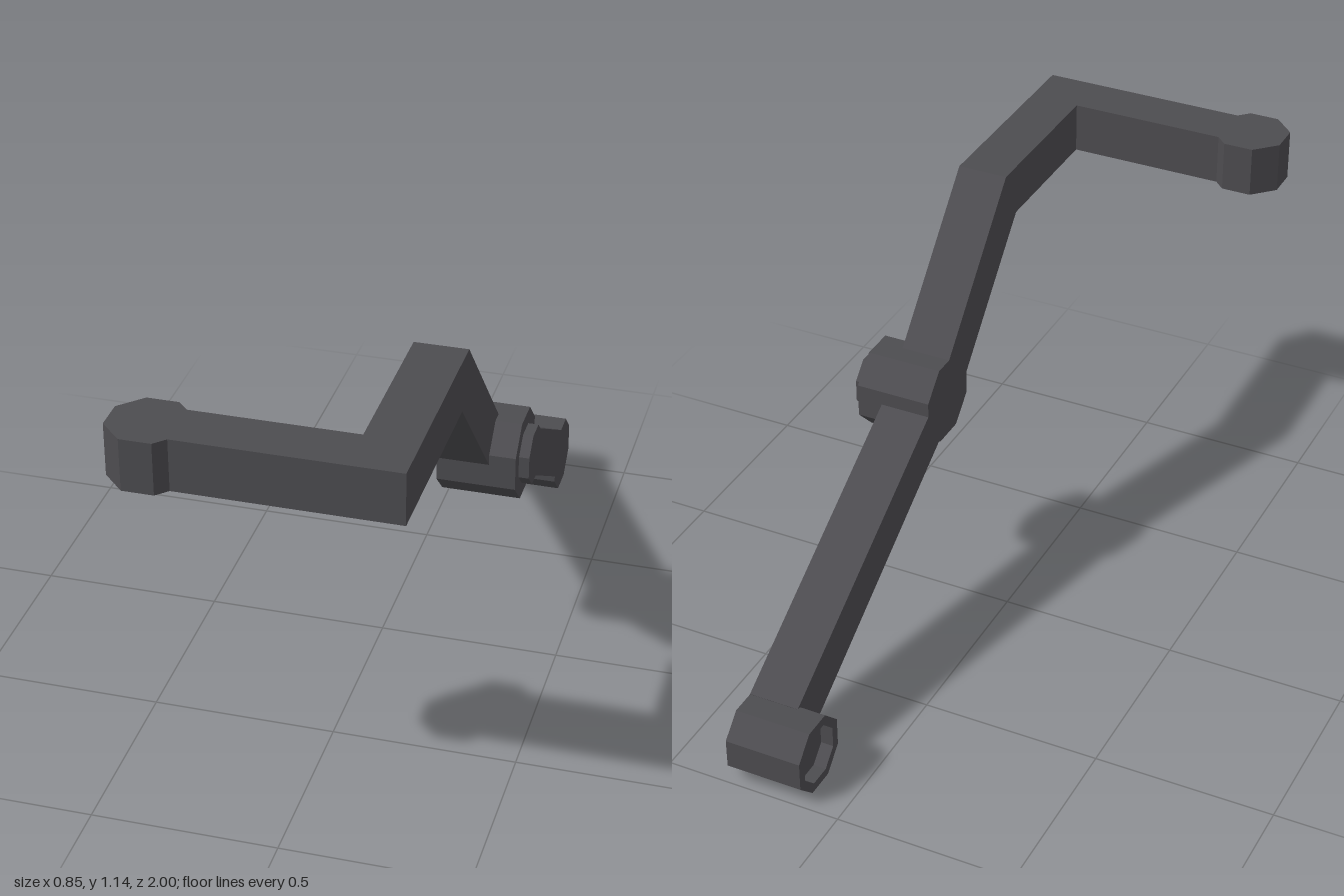
import * as THREE from 'three';

const darkGrey = new THREE.MeshStandardMaterial({ color: 0x4d4c50 });
darkGrey.name = 'dark grey';

// Octagon with flat sides on its axes, a = centre-to-side distance
function octagon(path, cx, cy, a) {
  const r = a / Math.cos(Math.PI / 8);
  path.setFromPoints(Array.from({ length: 8 }, (_, i) => {
    const t = (i + 0.5) * Math.PI / 4;
    return new THREE.Vector2(cx + r * Math.cos(t), cy + r * Math.sin(t));
  }));
  path.closePath();
  return path;
}

function extrude(shape, depth) {
  return new THREE.ExtrudeGeometry(shape, { depth, bevelEnabled: false });
}

// Side profile given as [z, y] points
function sideShape(points) {
  return new THREE.Shape(points.map(([z, y]) => new THREE.Vector2(-z, y)));
}

export function createModel() {
  const group = new THREE.Group();
  const add = (name, geometry) => {
    const mesh = new THREE.Mesh(geometry, darkGrey);
    mesh.name = name;
    group.add(mesh);
  };
  // Slab with a side profile, spanning x0 to x1
  const addSide = (name, shape, x0, x1) =>
    add(name, extrude(shape, x1 - x0).rotateY(Math.PI / 2).translate(x0, 0, 0));
  // Slab with a plan profile (x, -z), spanning y0 to y1
  const addPlan = (name, shape, y0, y1) =>
    add(name, extrude(shape, y1 - y0).rotateX(-Math.PI / 2).translate(0, y0, 0));

  // Bent upper arm, running from the crossbar down into the hub
  addSide('upperArm', sideShape([
    [0.83, 1.003], [0.43, 1.003], [0.1, 0.645], [0.02, 0.68],
    [0, 0.745], [0.366, 1.145], [0.83, 1.145],
  ]), 0.18, 0.322);

  // Crossbar with its octagonal socket, recessed underneath
  add('crossbar', new THREE.BoxGeometry(0.577, 0.142, 0.142).translate(0.0335, 1.074, 0.9));
  const upperEnd = octagon(new THREE.Shape(), -0.325, -0.9, 0.1);
  addPlan('upperSocketTop', upperEnd, 1.04, 1.145);
  const upperRim = upperEnd.clone();
  upperRim.holes.push(octagon(new THREE.Path(), -0.325, -0.9, 0.07));
  addPlan('upperSocketRim', upperRim, 1.003, 1.04);

  // Hub and its outer cap
  addSide('hub', octagon(new THREE.Shape(), 0, 0.643, 0.115), 0.18, 0.394);
  addSide('hubCap', octagon(new THREE.Shape(), 0, 0.642, 0.075), 0.394, 0.422);

  // Straight lower arm
  addSide('lowerArm', sideShape([
    [-0.05, 0.688], [-0.05, 0.537], [-0.84, 0.053], [-0.87, 0.201],
  ]), 0.18, 0.322);

  // Lower octagonal socket, recessed on the inner side
  const lowerEnd = octagon(new THREE.Shape(), 0.9, 0.1, 0.1);
  addSide('lowerSocketBody', lowerEnd, 0.142, 0.322);
  const lowerRim = lowerEnd.clone();
  lowerRim.holes.push(octagon(new THREE.Path(), 0.9, 0.1, 0.075));
  addSide('lowerSocketRim', lowerRim, 0.106, 0.142);

  return group;
}
